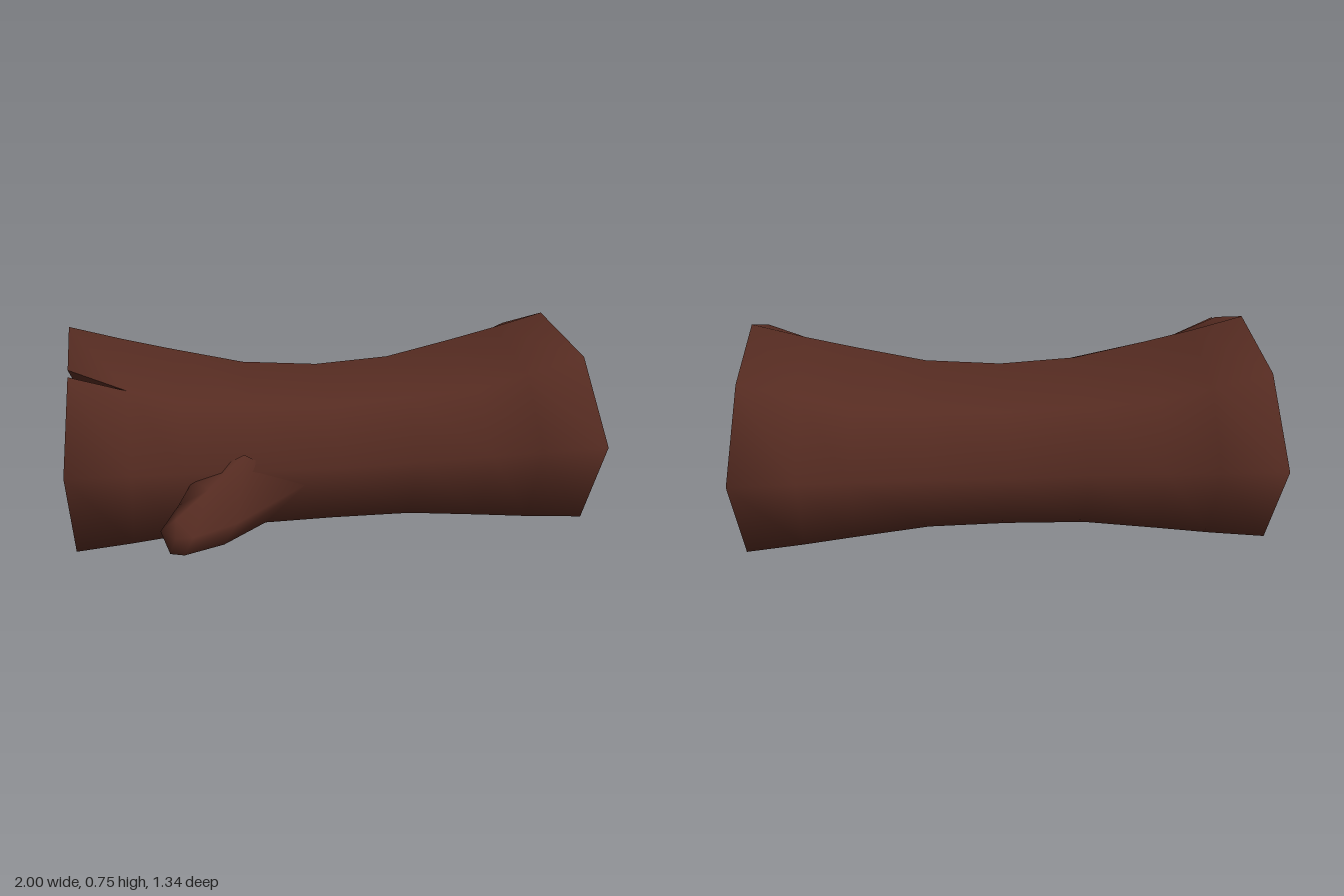
import * as THREE from 'three';
import { mergeVertices } from 'three/addons/utils/BufferGeometryUtils.js';

// Seven-sided section as [z, y]; the front upper corner is doubled so it can split
const SECTION = [[-0.035, 0.75], [0.345, 0.654], [0.40, 0.64], [0.6, 0.33],
  [0.45, 0.01], [-0.52, 0.01], [-0.67, 0.33], [-0.47, 0.64]];
const SPLIT = 1, CORNER = 2, MID_Z = -0.035;

// One ring of the log: width scale s, bottom yb, top yt, z shift,
// bow of the side corners and sag of the upper corners
function ring(x, s, yb, yt, { dz = 0, bow = 0, sag = 0, split = false } = {}) {
  return SECTION.map((p, i) => {
    const [z, y] = i === SPLIT && !split ? SECTION[CORNER] : p;
    const side = i === 3 || i === 6;
    const drop = i === SPLIT || i === CORNER || i === 7 ? sag : 0;
    return new THREE.Vector3(x + (side ? Math.sign(x) * bow : 0),
      yb + (y - 0.01) / 0.74 * (yt - yb) - drop,
      MID_Z + dz + (z - MID_Z) * (s - drop));
  });
}

// Smooth skin through closed rings; skip leaves one column open
function loft(rings, { skip = -1, flip = false } = {}) {
  const pos = [];
  const tri = (a, b, c) => {
    if (a.distanceTo(b) < 1e-5 || b.distanceTo(c) < 1e-5 || a.distanceTo(c) < 1e-5) return;
    for (const v of flip ? [a, c, b] : [a, b, c]) pos.push(v.x, v.y, v.z);
  };
  for (let k = 0; k + 1 < rings.length; k++) {
    const r = rings[k], q = rings[k + 1], n = r.length;
    for (let i = 0; i < n; i++) {
      if (i === skip) continue;
      const j = (i + 1) % n;
      tri(r[i], r[j], q[j]);
      tri(r[i], q[j], q[i]);
    }
  }
  let g = new THREE.BufferGeometry();
  g.setAttribute('position', new THREE.Float32BufferAttribute(pos, 3));
  g = mergeVertices(g);
  g.computeVertexNormals();
  return g;
}

export function createModel() {
  const group = new THREE.Group();
  const bark = new THREE.MeshStandardMaterial({ color: 0x552b21, side: THREE.DoubleSide });
  bark.name = 'barkBrown';
  const add = (name, geometry) => {
    const mesh = new THREE.Mesh(geometry, bark);
    mesh.name = name;
    group.add(mesh);
  };

  // Rings shared by both ends; only the -x end is split
  const lip = (d) => ring(d * 0.95, 0.845, 0.1, 0.66, { bow: 0.02, split: d < 0 });
  const edge = (d) => ring(d * 0.975, 1, 0.008, 0.752, { bow: 0.025, split: d < 0 });
  const neck = (d) => ring(d * 0.77, 0.893, 0.006, 0.697, { sag: 0.024 });
  const taper = (d) => ring(d * 0.58, 0.843, 0.018, 0.652, { dz: 0.003, sag: 0.048 });
  const waist = (d) => ring(d * 0.3, 0.777, 0.035, 0.59, { dz: 0.008, sag: 0.02 });
  const apex = (d) => ring(d * 0.7, 0, 0.35, 0.35);

  // Outer bark with flared, rounded end rims
  add('logBark', loft([lip(-1), edge(-1), neck(-1), taper(-1), waist(-1),
    ring(0, 0.757, 0.035, 0.57, { dz: 0.01, sag: 0.02 }),
    waist(1), taper(1), neck(1), edge(1), lip(1)], { skip: SPLIT }));

  // Hollowed ends, closed inside
  add('rightHollow', loft([apex(-1), lip(-1)], { skip: SPLIT }));
  add('leftHollow', loft([lip(1), apex(1)], { skip: SPLIT }));

  // Walls of the crack in the split end
  for (const i of [SPLIT, CORNER]) {
    const wall = [edge(-1)[i], neck(-1)[i], apex(-1)[i], lip(-1)[i]];
    if (i === SPLIT) wall.reverse();
    const g = new THREE.BufferGeometry().setFromPoints(wall);
    g.setIndex([0, 1, 2, 0, 2, 3]);
    g.computeVertexNormals();
    add('crackWall', g);
  }

  // Broken branch stub: root blending into the bark, middle, tip and closed end
  const stub = [
    [[-0.55, 0.26, 0.47], [-0.36, 0.335, 0.445], [-0.13, 0.2, 0.425], [-0.26, 0.036, 0.34], [-0.55, 0.03, 0.4]],
    [[-0.61, 0.18, 0.515], [-0.5, 0.24, 0.535], [-0.41, 0.13, 0.605], [-0.45, 0.03, 0.54], [-0.6, 0.035, 0.5]],
    [[-0.68, 0.12, 0.605], [-0.625, 0.16, 0.605], [-0.57, 0.11, 0.665], [-0.6, 0.03, 0.62], [-0.65, 0.045, 0.635]],
  ].map((r) => r.map((p) => new THREE.Vector3(...p)));
  stub.push(stub[2].map(() => new THREE.Vector3(-0.63, 0.1, 0.635)));
  add('branchStub', loft(stub, { flip: true }));

  return group;
}
